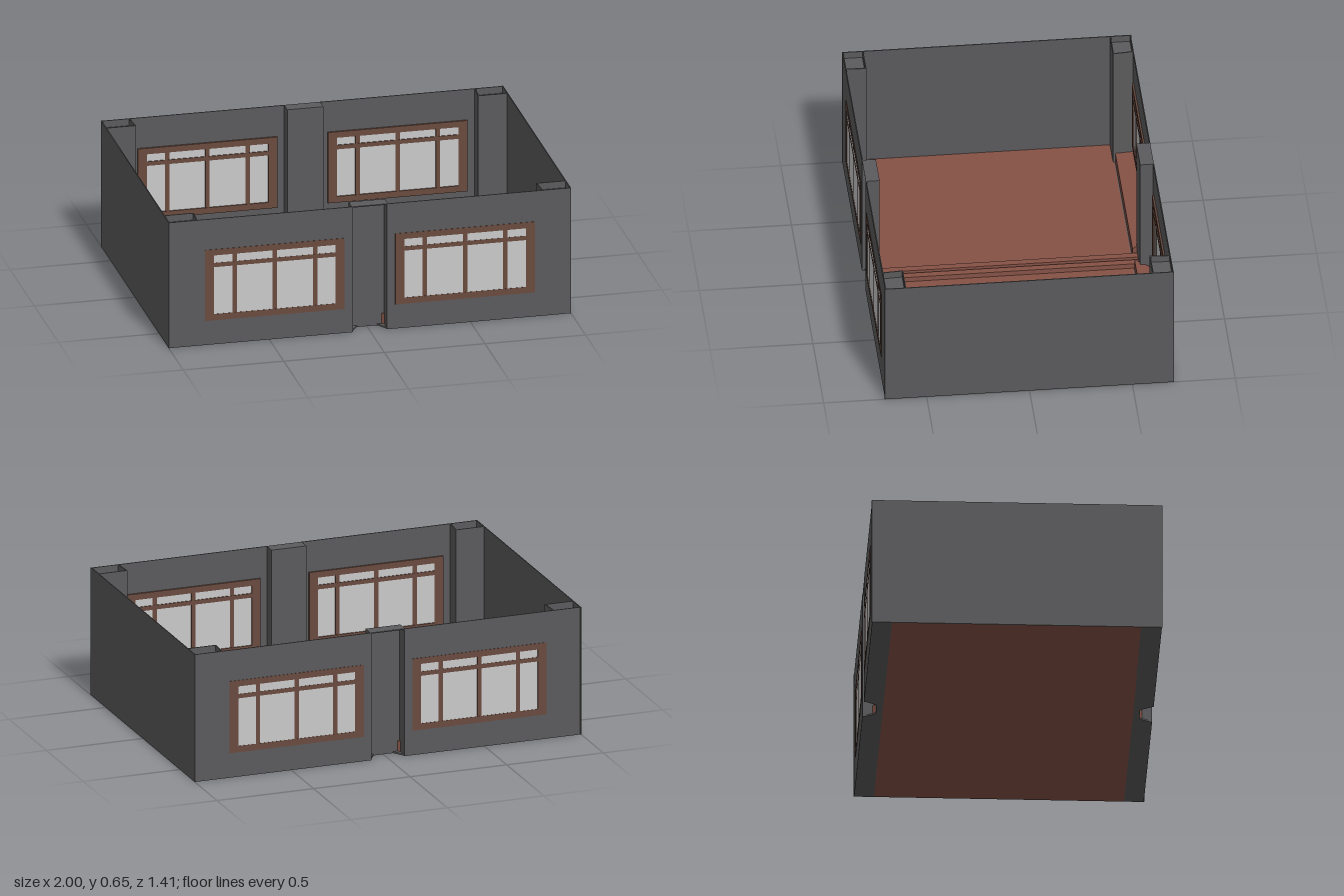
import * as THREE from 'three';

const mat = (name, color) => {
  const m = new THREE.MeshStandardMaterial({ color });
  m.name = name;
  return m;
};

export function createModel() {
  const wallGray = mat('wall gray', 0x5b5b5d);
  const floorBrown = mat('floor brown', 0x855246);
  const frameBrown = mat('frame brown', 0x694a3e);
  const glassGray = mat('pale glass', 0xcacaca);
  const model = new THREE.Group();
  const H = 0.65, T = 0.005;

  // box given by its limits on each axis
  const box = (parent, name, m, x0, x1, y0, y1, z0, z1) => {
    const mesh = new THREE.Mesh(new THREE.BoxGeometry(x1 - x0, y1 - y0, z1 - z0), m);
    mesh.position.set((x0 + x1) / 2, (y0 + y1) / 2, (z0 + z1) / 2);
    mesh.name = name;
    parent.add(mesh);
  };
  // horizontal slab with an outline in x and z
  const slab = (parent, name, m, points, y0, y1) => {
    const shape = new THREE.Shape(points.map(([x, z]) => new THREE.Vector2(x, z)));
    const geo = new THREE.ExtrudeGeometry(shape, { depth: y1 - y0, bevelEnabled: false });
    geo.rotateX(Math.PI / 2).translate(0, y1, 0);
    const mesh = new THREE.Mesh(geo, m);
    mesh.name = name;
    parent.add(mesh);
  };

  // floor and end walls
  box(model, 'floor', floorBrown, -0.995, 0.995, 0, 0.01, -0.605, 0.605);
  for (const s of [-1, 1]) {
    const x0 = s < 0 ? -1 : 1 - T;
    box(model, 'endWall', wallGray, x0, x0 + T, 0, H, -0.703, 0.703);
  }

  // twin rails along the middle of the floor
  for (const s of [-1, 1]) {
    box(model, 'floorRail', floorBrown, s < 0 ? -0.045 : 0.01, s < 0 ? -0.01 : 0.045, 0.005, 0.035, -0.635, 0.635);
  }

  const addWindow = (parent, cx) => {
    const win = new THREE.Group();
    win.name = 'window';
    win.position.x = cx;
    parent.add(win);
    const z0 = 0.687, z1 = 0.703;
    box(win, 'glass', glassGray, -0.32, 0.32, 0.14, 0.475, 0.693, 0.7015);
    for (const s of [-1, 1]) {
      box(win, 'frameSide', frameBrown, s < 0 ? -0.347 : 0.302, s < 0 ? -0.302 : 0.347, 0.125, 0.492, z0, z1);
    }
    box(win, 'frameSill', frameBrown, -0.302, 0.302, 0.125, 0.157, z0, z1);
    box(win, 'frameHead', frameBrown, -0.302, 0.302, 0.461, 0.492, z0, z1);
    box(win, 'transom', frameBrown, -0.302, 0.302, 0.4, 0.422, z0 + 0.002, z1 - 0.0005);
    for (const x of [-0.2, 0, 0.2]) {
      box(win, 'mullion', frameBrown, x - 0.011, x + 0.011, 0.157, 0.461, z0 + 0.003, z1 - 0.0008);
    }
  };

  // the same long side stands at the front and, turned round, at the back
  for (const turn of [0, Math.PI]) {
    const side = new THREE.Group();
    side.name = turn ? 'backSide' : 'frontSide';
    side.rotation.y = turn;
    model.add(side);

    // base strip with a tapered notch below the recess
    slab(side, 'baseStrip', wallGray, [[-0.995, 0.6], [0.995, 0.6], [0.995, 0.7],
      [0.09, 0.7], [0.05, 0.638], [-0.05, 0.638], [-0.09, 0.7], [-0.995, 0.7]], 0, 0.008);

    // recess in the middle of the wall, closed on top
    box(side, 'recessBack', wallGray, -0.09, 0.09, 0, H, 0.633, 0.638);
    box(side, 'recessCap', wallGray, -0.09, 0.09, H - T, H, 0.638, 0.7);

    for (const s of [-1, 1]) {
      const span = (a, b) => s > 0 ? [a, b] : [-b, -a];
      box(side, 'longWall', wallGray, ...span(0.085, 0.995), 0, H, 0.696, 0.701);
      box(side, 'recessCheek', wallGray, ...span(0.085, 0.09), 0, H, 0.633, 0.698);
      addWindow(side, s * 0.473);

      // bench below the window, its inner end cut at an angle
      slab(side, 'bench', floorBrown, [[0.13, 0.697], [0.045, 0.61], [0.855, 0.61], [0.862, 0.697]]
        .map(([x, z]) => [s * x, z]), 0.004, 0.06);

      // hollow corner pillar with a sunken lid
      slab(side, 'cornerPillarSide', wallGray, [[0.85, 0.6], [0.855, 0.6], [0.862, 0.697], [0.857, 0.697]]
        .map(([x, z]) => [s * x, z]), 0, H);
      box(side, 'cornerPillarFace', wallGray, ...span(0.85, 0.995), 0, H, 0.599, 0.604);
      box(side, 'cornerPillarLid', wallGray, ...span(0.857, 0.995), 0.61, 0.615, 0.604, 0.697);
    }
  }
  return model;
}
